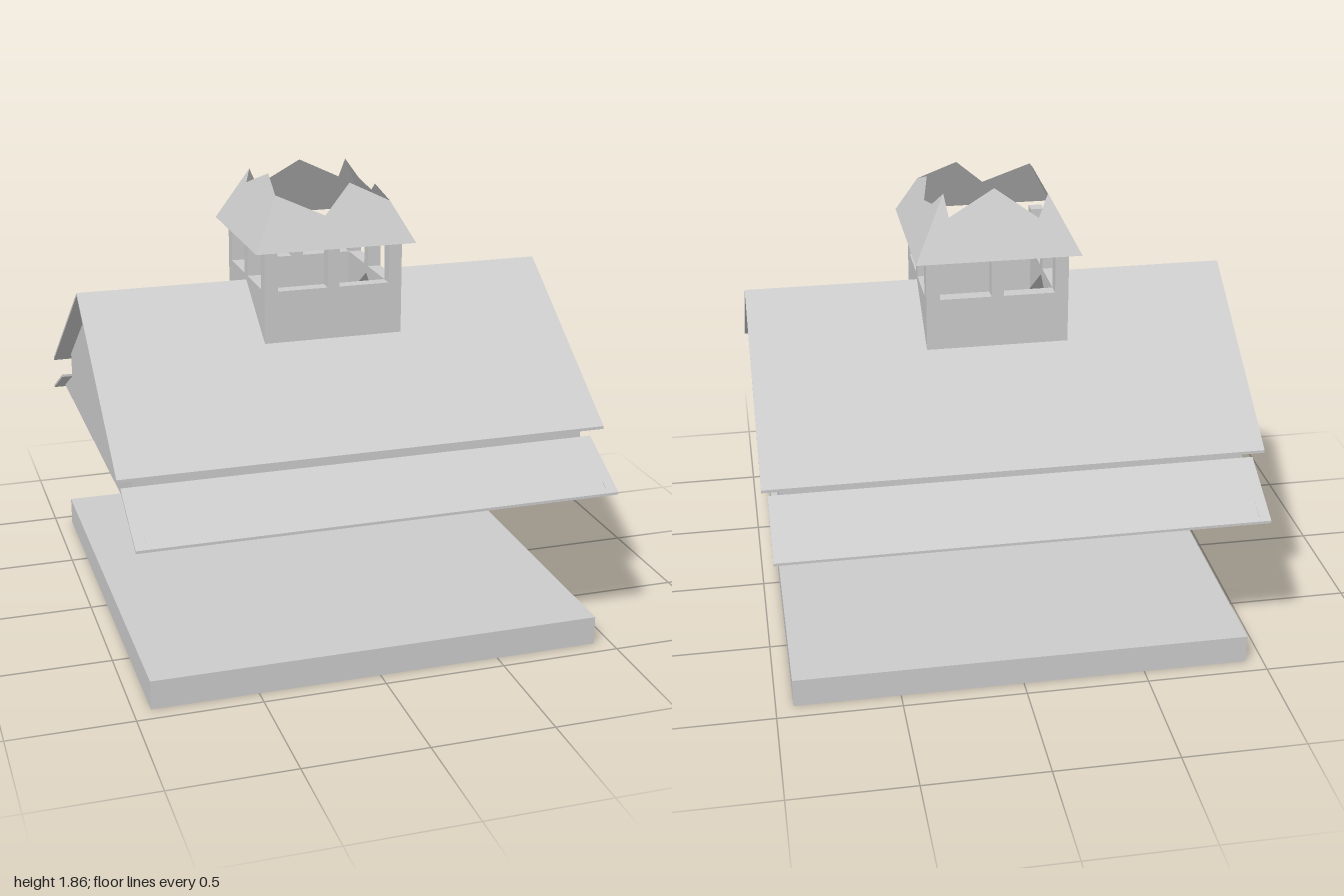
import * as THREE from 'three';

const mat = new THREE.MeshStandardMaterial({ color: 0xcccccc, flatShading: true, side: THREE.DoubleSide });

function add(parent, name, geometry, x = 0, y = 0, z = 0) {
  const mesh = new THREE.Mesh(geometry, mat);
  mesh.name = name;
  mesh.position.set(x, y, z);
  parent.add(mesh);
  return mesh;
}

const shapeOf = (pts) => new THREE.Shape(pts.map(([x, y]) => new THREE.Vector2(x, y)));

// Thin sloped slab from a plan outline (x, distance out from the ridge)
function slopedSlab(outline, topY, slope, thick) {
  const geo = new THREE.ExtrudeGeometry(shapeOf(outline), { depth: thick, bevelEnabled: false });
  const p = geo.attributes.position;
  for (let i = 0; i < p.count; i++) {
    const x = p.getX(i), v = p.getY(i), w = p.getZ(i);
    p.setXYZ(i, -x, topY - slope * v + w - thick, v);
  }
  geo.computeVertexNormals();
  return geo;
}

// One face of the broken cap roof: jagged top edge given as (along, out from centre)
function jaggedFace(top, eave, eaveY, slope) {
  const pos = [], index = [];
  top.forEach(([t, d], i) => {
    pos.push(t * eave / d, eaveY, eave, t, eaveY + slope * (eave - d), d);
    if (i) {
      const a = 2 * (i - 1);
      index.push(a, a + 2, a + 3, a, a + 3, a + 1);
    }
  });
  // Stretch the bottom edge out to both corners
  pos[0] = -eave;
  pos[pos.length - 6] = eave;
  const geo = new THREE.BufferGeometry();
  geo.setAttribute('position', new THREE.Float32BufferAttribute(pos, 3));
  geo.setIndex(index);
  geo.computeVertexNormals();
  return geo;
}

export function createModel() {
  const model = new THREE.Group();
  model.name = 'roofedBuilding';

  // Ground slab
  add(model, 'baseSlab', new THREE.BoxGeometry(1.86, 0.12, 1.86), 0, 0.06, 0);

  // Roof halves, with a notch at the ridge under the tower
  const ridge = 1.408, k = 0.673, hole = 0.235;
  const upper = slopedSlab([
    [-1, 0], [-hole, 0], [-hole, hole], [hole, hole], [hole, 0], [1, 0], [1, 0.767], [-1, 0.767],
  ], ridge, k, 0.012);
  const skirt = slopedSlab([[-0.975, 0.7], [0.975, 0.7], [0.975, 0.975], [-0.975, 0.975]], 1.186, 0.51, 0.011);
  const clerestory = new THREE.PlaneGeometry(1.86, 0.11);
  for (const side of ['front', 'back']) {
    const half = new THREE.Group();
    half.name = side + 'RoofHalf';
    half.rotation.y = side === 'front' ? 0 : Math.PI;
    add(half, 'upperRoof', upper);
    add(half, 'lowerSkirtRoof', skirt);
    add(half, 'clerestoryWall', clerestory, 0, 0.873, 0.7);
    model.add(half);
  }

  // Gable end walls
  const gable = new THREE.ShapeGeometry(shapeOf([
    [-0.96, 0.7], [0.96, 0.7], [0.7, 0.82], [0.7, 0.928], [0, 1.398], [-0.7, 0.928], [-0.7, 0.82],
  ]));
  for (const s of [1, -1]) add(model, s > 0 ? 'leftGable' : 'rightGable', gable, 0.93 * s).rotation.y = s * Math.PI / 2;

  // Tower: low walls, corner posts and middle posts
  const tower = new THREE.Group();
  tower.name = 'tower';
  model.add(tower);
  const half = 0.29, t = 0.055, sill = 1.43, eaveY = 1.6, low = 1.215;
  const mid = half - t / 2, postH = eaveY - sill;
  const sideWall = new THREE.ExtrudeGeometry(shapeOf([
    [-half, low], [0, 1.4], [half, low], [half, sill], [-half, sill],
  ]), { depth: t, bevelEnabled: false });
  sideWall.translate(0, 0, half - t);
  const longWall = new THREE.BoxGeometry(2 * (half - t), sill - low, t);
  longWall.translate(0, (sill + low) / 2, mid);
  const cornerPost = new THREE.BoxGeometry(t, postH, t);
  const middlePost = new THREE.BoxGeometry(0.05, postH, t);

  // Cap roof with a broken-off top, one jagged face per side
  const edges = [
    [[-0.225, 0.225], [-0.03, 0.27], [0.09, 0.21], [0.25, 0.25]],
    [[-0.25, 0.25], [-0.13, 0.225], [0, 0.255], [0.13, 0.24], [0.205, 0.205]],
    [[-0.205, 0.205], [-0.19, 0.25], [0, 0.2], [0.17, 0.26], [0.215, 0.215]],
    [[-0.215, 0.215], [-0.17, 0.24], [0.03, 0.2], [0.225, 0.225]],
  ];
  edges.forEach((edge, i) => {
    const face = new THREE.Group();
    face.name = ['front', 'left', 'back', 'right'][i] + 'TowerSide';
    face.rotation.y = i * Math.PI / 2;
    add(face, 'towerWall', i % 2 ? sideWall : longWall);
    add(face, 'cornerPost', cornerPost, mid, sill + postH / 2, mid);
    add(face, 'middlePost', middlePost, 0, sill + postH / 2, mid);
    add(face, 'brokenCapRoof', jaggedFace(edge, 0.335, eaveY, 1.9));
    tower.add(face);
  });

  return model;
}
